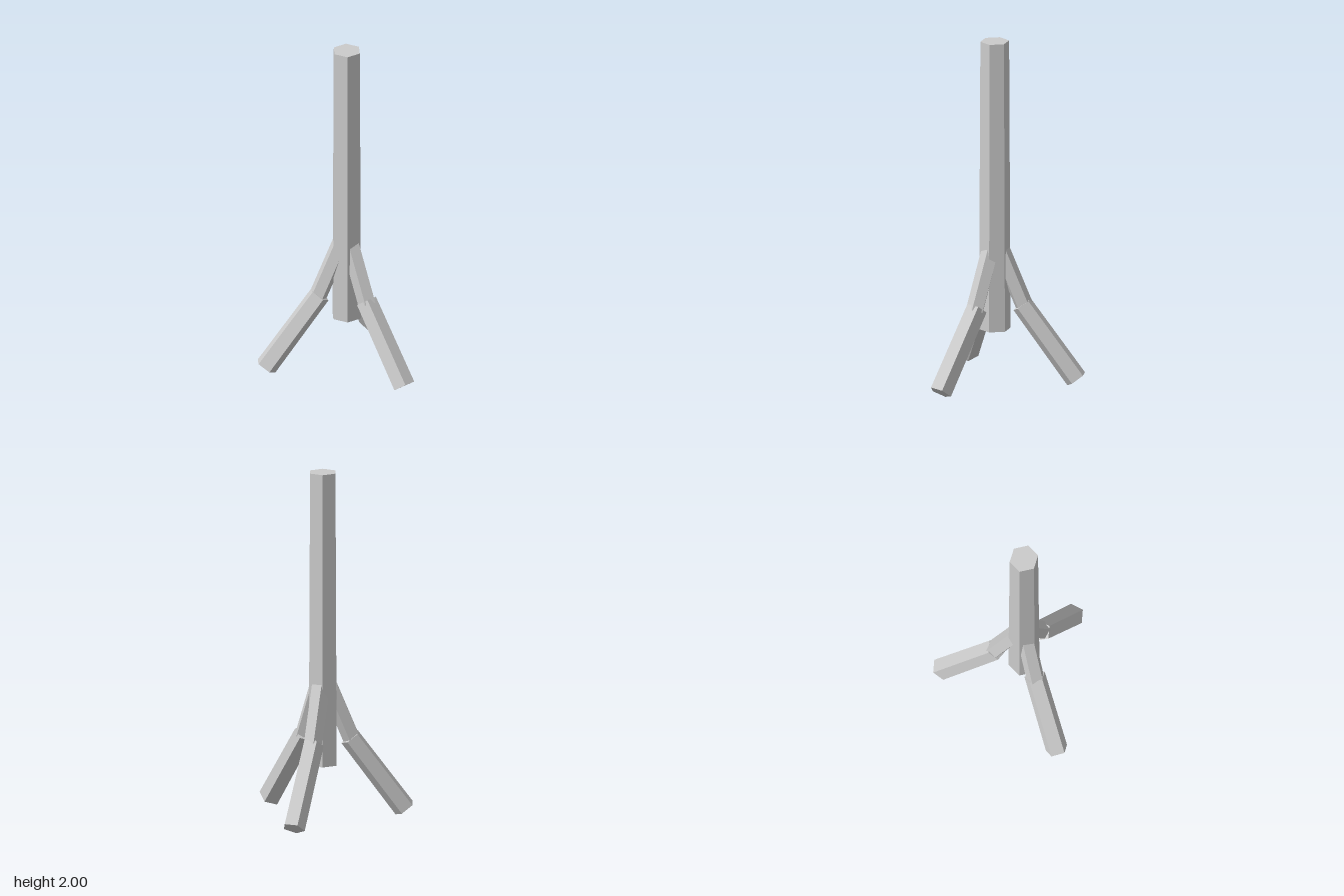
import * as THREE from 'three';

const rad = THREE.MathUtils.degToRad;
const material = new THREE.MeshStandardMaterial({ color: 0xcccccc, flatShading: true });

// Five-sided bar from point a (upper) to point b (lower) in the leg's own plane,
// flat face outward, twisted about its axis by the given degrees.
function bar(name, a, b, rTop, rBottom, twist) {
  const dx = b[0] - a[0], dy = a[1] - b[1];
  const geo = new THREE.CylinderGeometry(rTop, rBottom, Math.hypot(dx, dy), 5, 1, false, rad(126 - twist));
  const mesh = new THREE.Mesh(geo, material);
  mesh.name = name;
  mesh.position.set((a[0] + b[0]) / 2, (a[1] + b[1]) / 2, 0);
  mesh.rotation.z = Math.atan2(dx, dy);
  return mesh;
}

export function createModel() {
  const model = new THREE.Group();
  model.name = 'branchingPost';

  // Everything is arranged around the post's axis
  const body = new THREE.Group();
  body.name = 'body';
  body.position.set(-0.11, 0, 0.003);
  model.add(body);

  // Slightly tapered six-sided post
  const post = new THREE.Mesh(
    new THREE.CylinderGeometry(0.082, 0.09, 1.685, 6, 1, false, rad(50)), material);
  post.name = 'post';
  post.position.y = 0.315 + 1.685 / 2;
  body.add(post);

  // Three bent legs, each an upper and a lower bar
  const legs = [
    { turn: 0, upper: 17, lower: -8 },
    { turn: 120, upper: 10, lower: -2 },
    { turn: -120, upper: 5, lower: 12 },
  ];
  for (const { turn, upper, lower } of legs) {
    const leg = new THREE.Group();
    leg.name = 'leg';
    leg.rotation.y = rad(turn);
    leg.add(bar('upperLeg', [0.0, 0.86], [0.17, 0.452], 0.053, 0.053, upper));
    leg.add(bar('lowerLeg', [0.157, 0.465], [0.468, 0.043], 0.062, 0.065, lower));
    body.add(leg);
  }
  return model;
}
